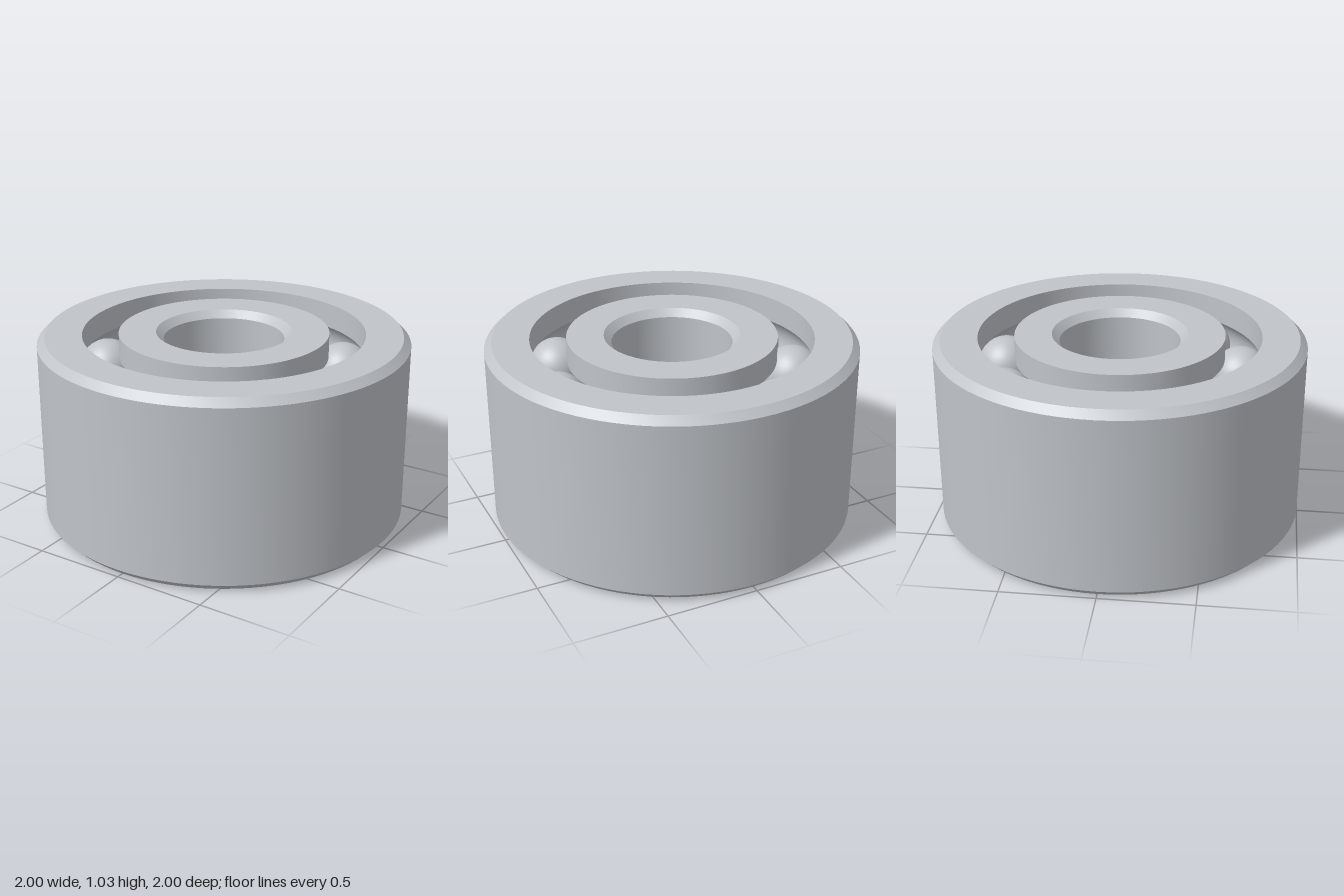
import * as THREE from 'three';
import { toCreasedNormals } from 'three/addons/utils/BufferGeometryUtils.js';

const HEIGHT = 1.03;
const ROWS = [0.26, 0.77];      // heights of the two ball rows
const BALLS = 9;
const PITCH = 0.66;             // radius of the ball circle
const BALL_R = 0.155;
const GROOVE_R = 0.157;
const CHAMFER = 0.04;

// Profile points of one ball groove, from its lower to its upper edge.
// side is +1 for the outer race and -1 for the inner race.
function groove(rowY, edgeRadius, side) {
  const half = Math.acos(Math.abs(edgeRadius - PITCH) / GROOVE_R);
  const steps = 12;
  const points = [];
  for (let i = 0; i <= steps; i++) {
    const a = -half + (2 * half * i) / steps;
    points.push(new THREE.Vector2(PITCH + side * GROOVE_R * Math.cos(a), rowY + GROOVE_R * Math.sin(a)));
  }
  return points;
}

// A race wall with both grooves, from bottom to top.
function raceWall(radius, side) {
  return [
    new THREE.Vector2(radius, 0),
    ...ROWS.flatMap((y) => groove(y, radius, side)),
    new THREE.Vector2(radius, HEIGHT),
  ];
}

// A plain wall with chamfered ends, from bottom to top.
// dir is the direction in which the chamfers lean.
function chamferedWall(radius, dir) {
  return [
    new THREE.Vector2(radius + dir * CHAMFER, 0),
    new THREE.Vector2(radius, CHAMFER),
    new THREE.Vector2(radius, HEIGHT - CHAMFER),
    new THREE.Vector2(radius + dir * CHAMFER, HEIGHT),
  ];
}

// Ring turned from an outside wall going up and an inside wall going down.
function ring(name, outside, inside, material) {
  const profile = [...outside, ...inside.reverse(), outside[0].clone()];
  const geometry = toCreasedNormals(new THREE.LatheGeometry(profile, 96), 0.5);
  const mesh = new THREE.Mesh(geometry, material);
  mesh.name = name;
  return mesh;
}

export function createModel() {
  const steel = new THREE.MeshStandardMaterial({ color: 0xc0c4c9 });
  steel.name = 'steel';

  const model = new THREE.Group();
  model.name = 'ballBearing';

  // Rings
  model.add(ring('outerRing', chamferedWall(1, -1), raceWall(0.76, 1), steel));
  model.add(ring('innerRing', raceWall(0.565, -1), chamferedWall(0.325, 1), steel));

  // Two aligned rows of balls
  const ballGeometry = new THREE.SphereGeometry(BALL_R, 32, 20);
  ROWS.forEach((y, row) => {
    const ballRow = new THREE.Group();
    ballRow.name = row === 0 ? 'lowerBallRow' : 'upperBallRow';
    for (let i = 0; i < BALLS; i++) {
      const a = (i / BALLS) * Math.PI * 2;
      const ball = new THREE.Mesh(ballGeometry, steel);
      ball.name = 'ball';
      ball.position.set(PITCH * Math.cos(a), y, PITCH * Math.sin(a));
      ballRow.add(ball);
    }
    model.add(ballRow);
  });

  return model;
}
